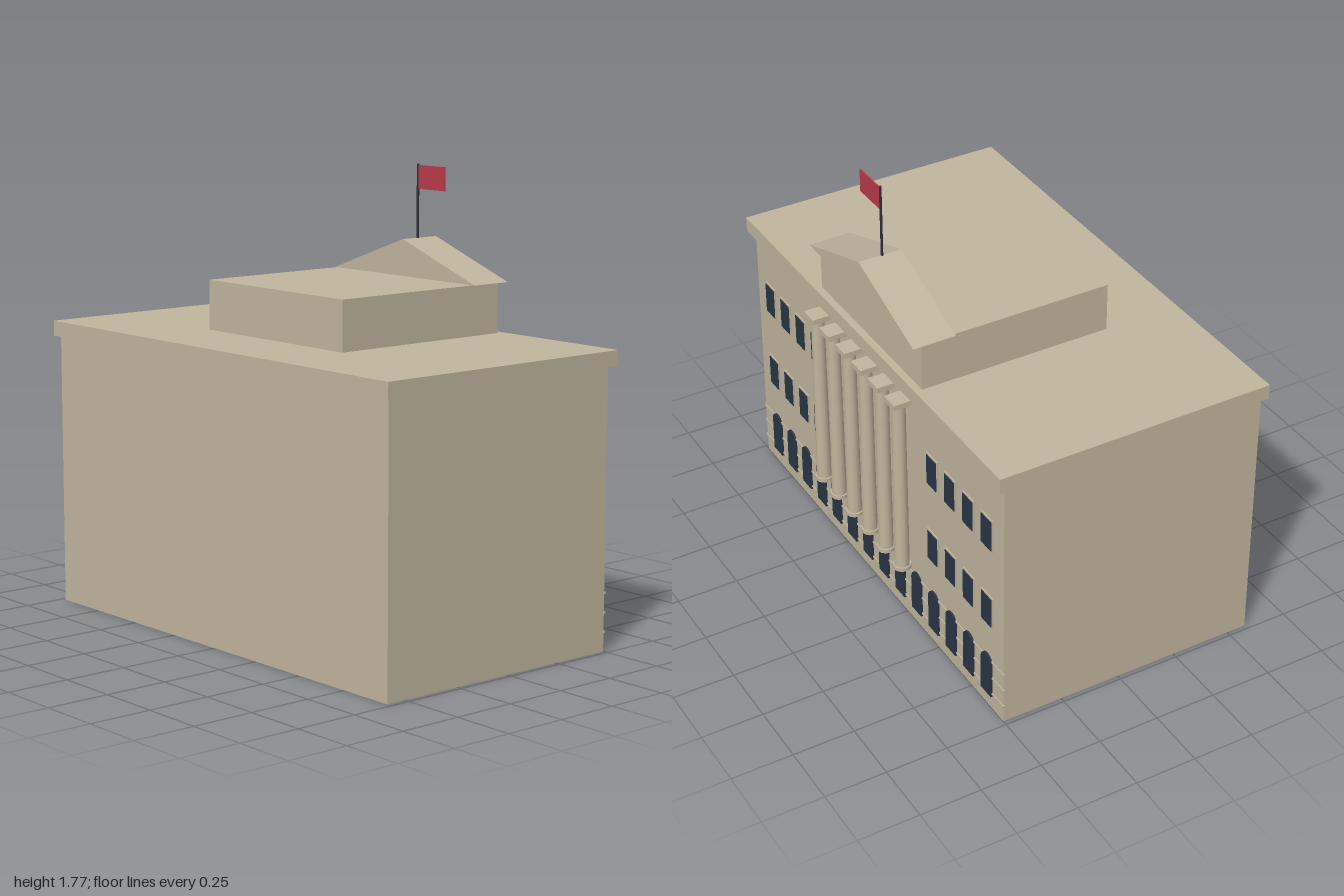
import * as THREE from 'three';

const mat = (name, color, extra = {}) => {
  const m = new THREE.MeshStandardMaterial({ color, ...extra });
  m.name = name;
  return m;
};

export function createModel() {
  const stone = mat('stone', 0xc0b59d);
  const glass = mat('darkGlass', 0x2a3545);
  const metal = mat('darkMetal', 0x2a2f38);
  const cloth = mat('redCloth', 0xb83a4a, { side: THREE.DoubleSide });

  const model = new THREE.Group();
  model.name = 'civicBuilding';

  const add = (name, geometry, material, x = 0, y = 0, z = 0, parent = model) => {
    const mesh = new THREE.Mesh(geometry, material);
    mesh.name = name;
    mesh.position.set(x, y, z);
    parent.add(mesh);
    return mesh;
  };
  // Box given by its lower and upper limits on each axis
  const block = (name, x0, x1, y0, y1, z0, z1, material = stone, parent = model) =>
    add(name, new THREE.BoxGeometry(x1 - x0, y1 - y0, z1 - z0), material,
      (x0 + x1) / 2, (y0 + y1) / 2, (z0 + z1) / 2, parent);

  // Main masses
  block('mainBlock', -0.98, 0.98, 0, 1.08, -0.5, 0.58);
  block('cornice', -1, 1, 1.08, 1.14, -0.53, 0.6);
  block('upperStorey', -0.395, 0.395, 1.14, 1.335, -0.5, 0.285);

  // Triangular pediment over the upper storey
  const gable = new THREE.Shape([
    new THREE.Vector2(-0.407, 0), new THREE.Vector2(0.407, 0), new THREE.Vector2(0, 0.145),
  ]);
  add('pediment', new THREE.ExtrudeGeometry(gable, { depth: 0.175, bevelEnabled: false }),
    stone, 0, 1.335, -0.54);

  // Flagpole and flag
  add('flagpole', new THREE.CylinderGeometry(0.005, 0.005, 0.31, 8), metal, 0, 1.615, -0.443);
  block('flag', 0.004, 0.155, 1.672, 1.765, -0.445, -0.441, cloth);

  // Colonnade on the decorated facade
  const shaftGeo = new THREE.CylinderGeometry(0.026, 0.029, 0.75, 16);
  const baseGeo = new THREE.CylinderGeometry(0.036, 0.036, 0.016, 12);
  const capGeo = new THREE.BoxGeometry(0.077, 0.022, 0.077);
  for (let i = 0; i < 6; i++) {
    const column = new THREE.Group();
    column.name = 'column';
    column.position.set((i - 2.5) * 0.129, 0, -0.56);
    add('columnBase', baseGeo, stone, 0, 0.306, 0, column);
    add('columnShaft', shaftGeo, stone, 0, 0.686, 0, column);
    add('columnCapital', capGeo, stone, 0, 1.069, 0, column);
    model.add(column);
  }

  // Horizontal courses around the ground floor of the facade
  for (const y of [0.075, 0.15, 0.225]) {
    block('stringCourse', -0.985, 0.985, y - 0.004, y + 0.004, -0.504, -0.496);
  }

  // Arched ground-floor windows
  const arch = new THREE.Shape();
  arch.moveTo(-0.037, 0);
  arch.lineTo(0.037, 0);
  arch.lineTo(0.037, 0.15);
  arch.absarc(0, 0.15, 0.037, 0, Math.PI, false);
  arch.closePath();
  const archGeo = new THREE.ExtrudeGeometry(arch, { depth: 0.009, bevelEnabled: false, curveSegments: 8 });

  // Fourteen bays; the upper rows are interrupted by the colonnade
  const frameGeo = new THREE.BoxGeometry(0.084, 0.142, 0.006);
  const paneGeo = new THREE.BoxGeometry(0.07, 0.128, 0.009);
  for (let i = 0; i < 14; i++) {
    const x = (i - 6.5) * 0.133;
    add('archedWindow', archGeo, glass, x, 0.06, -0.508);
    if (Math.abs(x) < 0.4) continue;
    for (const y of [0.46, 0.812]) {
      add('windowFrame', frameGeo, stone, x, y, -0.502);
      add('windowPane', paneGeo, glass, x, y, -0.5035);
    }
  }

  return model;
}
